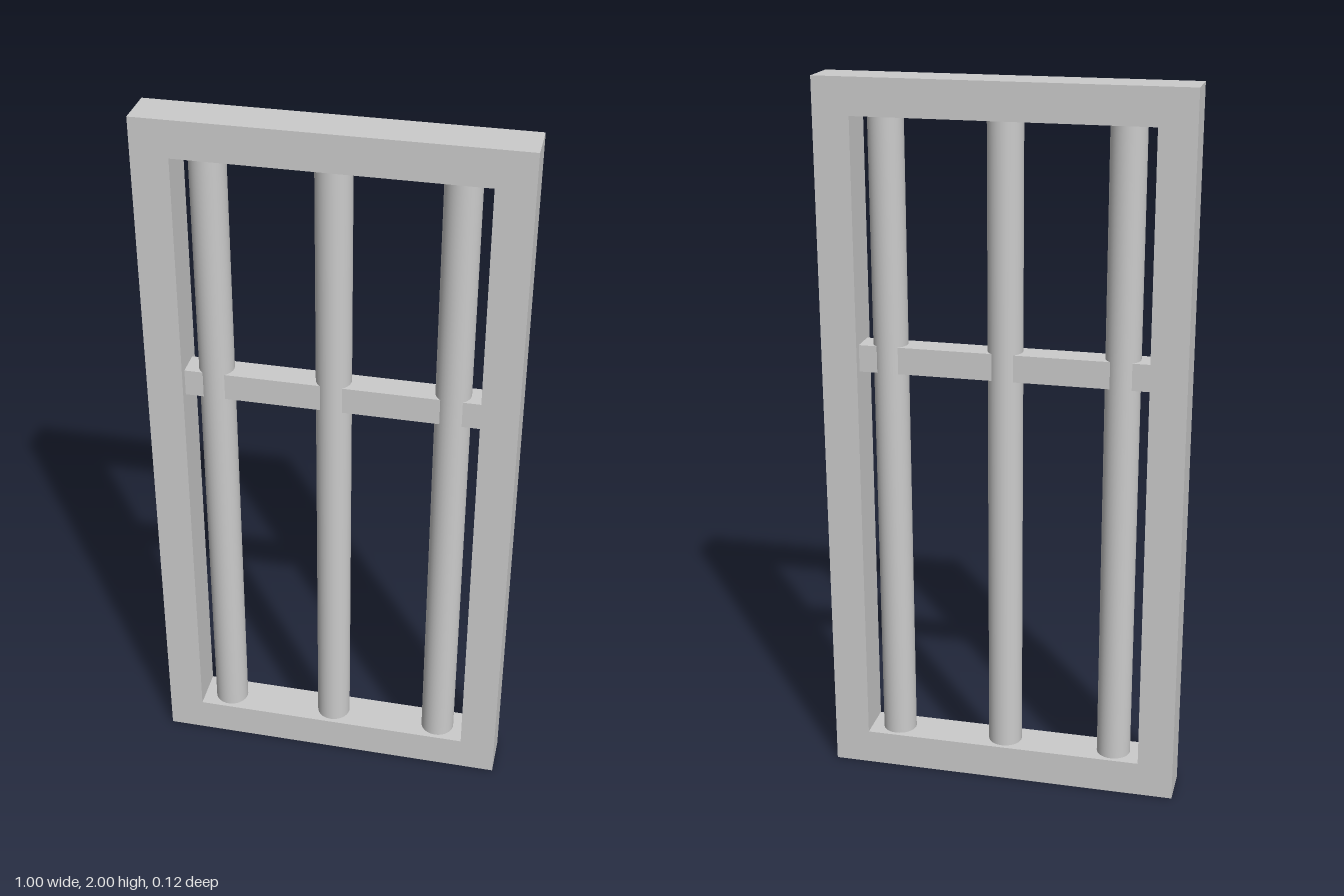
import * as THREE from 'three';

export function createModel() {
  const group = new THREE.Group();
  const material = new THREE.MeshStandardMaterial({ color: 0xcccccc });
  const add = (name, geometry, x, y, z) => {
    const mesh = new THREE.Mesh(geometry, material);
    mesh.name = name;
    mesh.position.set(x, y, z);
    group.add(mesh);
  };

  const width = 1, height = 2, depth = 0.12, border = 0.1;
  const innerWidth = width - 2 * border, innerHeight = height - 2 * border;

  // Rectangular frame with one opening
  const rectangle = (path, w, h) => {
    path.moveTo(-w / 2, -h / 2);
    path.lineTo(w / 2, -h / 2);
    path.lineTo(w / 2, h / 2);
    path.lineTo(-w / 2, h / 2);
    path.closePath();
    return path;
  };
  const outline = rectangle(new THREE.Shape(), width, height);
  outline.holes.push(rectangle(new THREE.Path(), innerWidth, innerHeight));
  const frame = new THREE.ExtrudeGeometry(outline, { depth, bevelEnabled: false });
  add('frame', frame, 0, height / 2, -depth / 2);

  // Three round upright bars between the bottom and top rails
  const bar = new THREE.CylinderGeometry(0.048, 0.048, innerHeight, 32, 1, true);
  ['rightBar', 'middleBar', 'leftBar'].forEach((name, i) => {
    add(name, bar, (i - 1) * 0.32, height / 2, 0);
  });

  // Square crossbar running through the uprights
  add('crossbar', new THREE.BoxGeometry(innerWidth, 0.075, 0.075), 0, 1.243, 0);

  return group;
}
